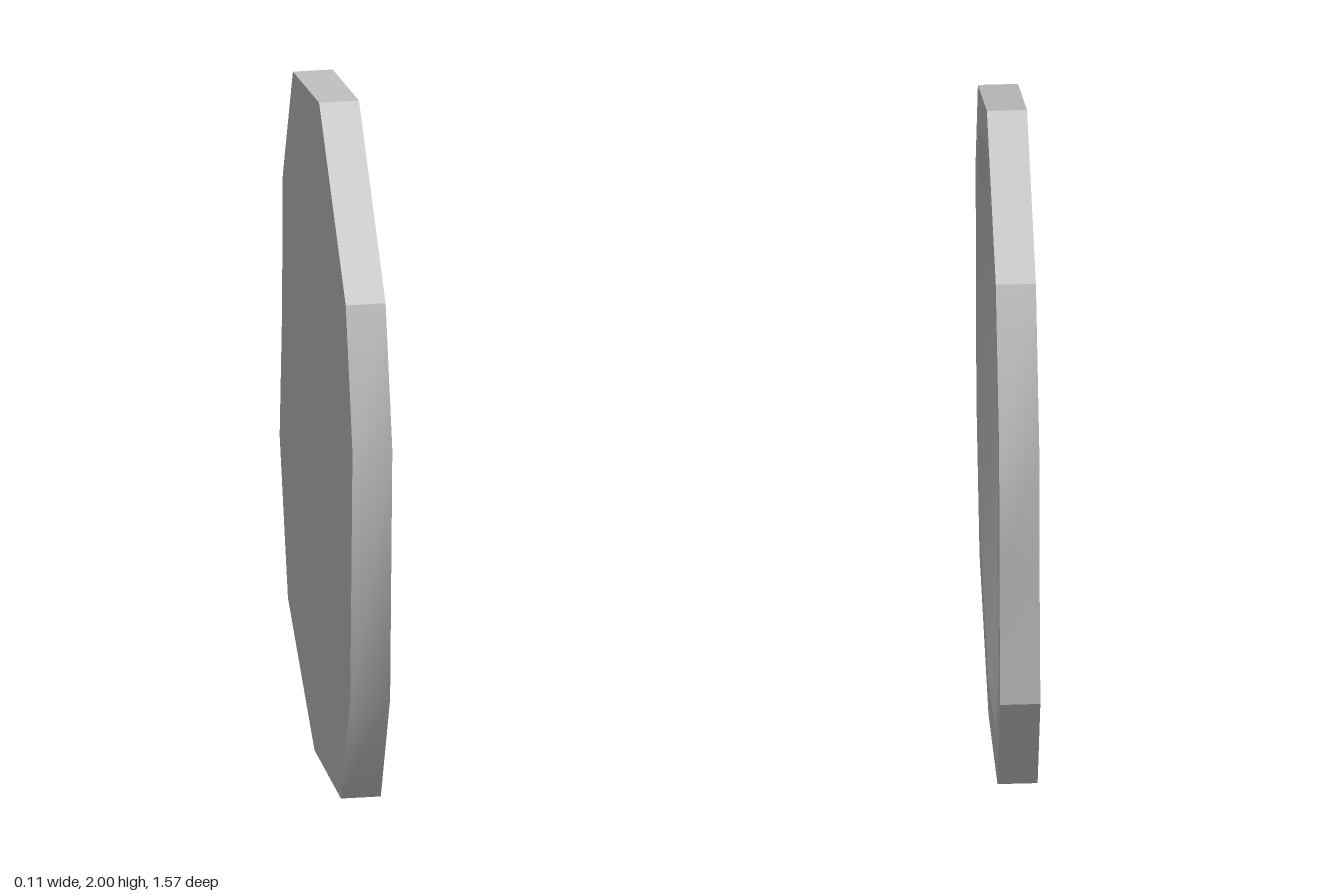
import * as THREE from 'three';
import { toCreasedNormals } from 'three/addons/utils/BufferGeometryUtils.js';

// Irregular outlines as [z, y], running from the top towards -z
const OUTER = [[0.066, 2], [-0.5, 1.833], [-0.718, 1.42], [-0.734, 0.996], [-0.785, 0.604], [-0.607, 0.196],
  [-0.034, 0], [0.536, 0.117], [0.737, 0.503], [0.785, 1.277], [0.639, 1.653]];
const RIM = [[0.061, 1.894], [-0.432, 1.722], [-0.641, 1.367], [-0.652, 1.012], [-0.697, 0.647], [-0.522, 0.297],
  [-0.024, 0.111], [0.462, 0.228], [0.66, 0.562], [0.702, 1.224], [0.552, 1.553]];
const FLOOR = [[0.056, 1.828], [-0.392, 1.653], [-0.596, 1.33], [-0.607, 1.012], [-0.652, 0.678], [-0.469, 0.358],
  [-0.024, 0.178], [0.421, 0.297], [0.617, 0.6], [0.66, 1.192], [0.501, 1.489]];

const HALF = 0.055;
const FLOOR_X = -0.003;

const ring = (outline, x) => outline.map(([z, y]) => [x, y, z]);
const point = (x) => OUTER.map(() => [x, 1, 0]);

// Skins consecutive rings; a ring shrunk to a point closes an end
function skin(rings) {
  const pos = [];
  const tri = (a, b, c) => pos.push(...a, ...b, ...c);
  const same = (a, b) => a.every((v, k) => v === b[k]);
  for (let r = 0; r < rings.length - 1; r++) {
    const a = rings[r], b = rings[r + 1];
    for (let i = 0; i < a.length; i++) {
      const j = (i + 1) % a.length;
      if (!same(b[i], b[j])) tri(a[i], b[i], b[j]);
      if (!same(a[i], a[j])) tri(a[i], b[j], a[j]);
    }
  }
  const geo = new THREE.BufferGeometry();
  geo.setAttribute('position', new THREE.Float32BufferAttribute(pos, 3));
  return toCreasedNormals(geo, Math.PI / 6);
}

export function createModel() {
  const group = new THREE.Group();
  group.name = 'recessedPanel';
  const grey = new THREE.MeshStandardMaterial({ color: 0xcccccc });
  grey.name = 'light grey';

  const add = (name, rings) => {
    const mesh = new THREE.Mesh(skin(rings), grey);
    mesh.name = name;
    group.add(mesh);
  };

  // Outer edge, flat rim and bevel down into the recess
  add('frame', [ring(OUTER, -HALF), ring(OUTER, HALF), ring(RIM, HALF), ring(FLOOR, FLOOR_X)]);
  // Flat floor of the recess
  add('recessFloor', [ring(FLOOR, FLOOR_X), point(FLOOR_X)]);
  // Flat back
  add('backFace', [point(-HALF), ring(OUTER, -HALF)]);
  return group;
}
